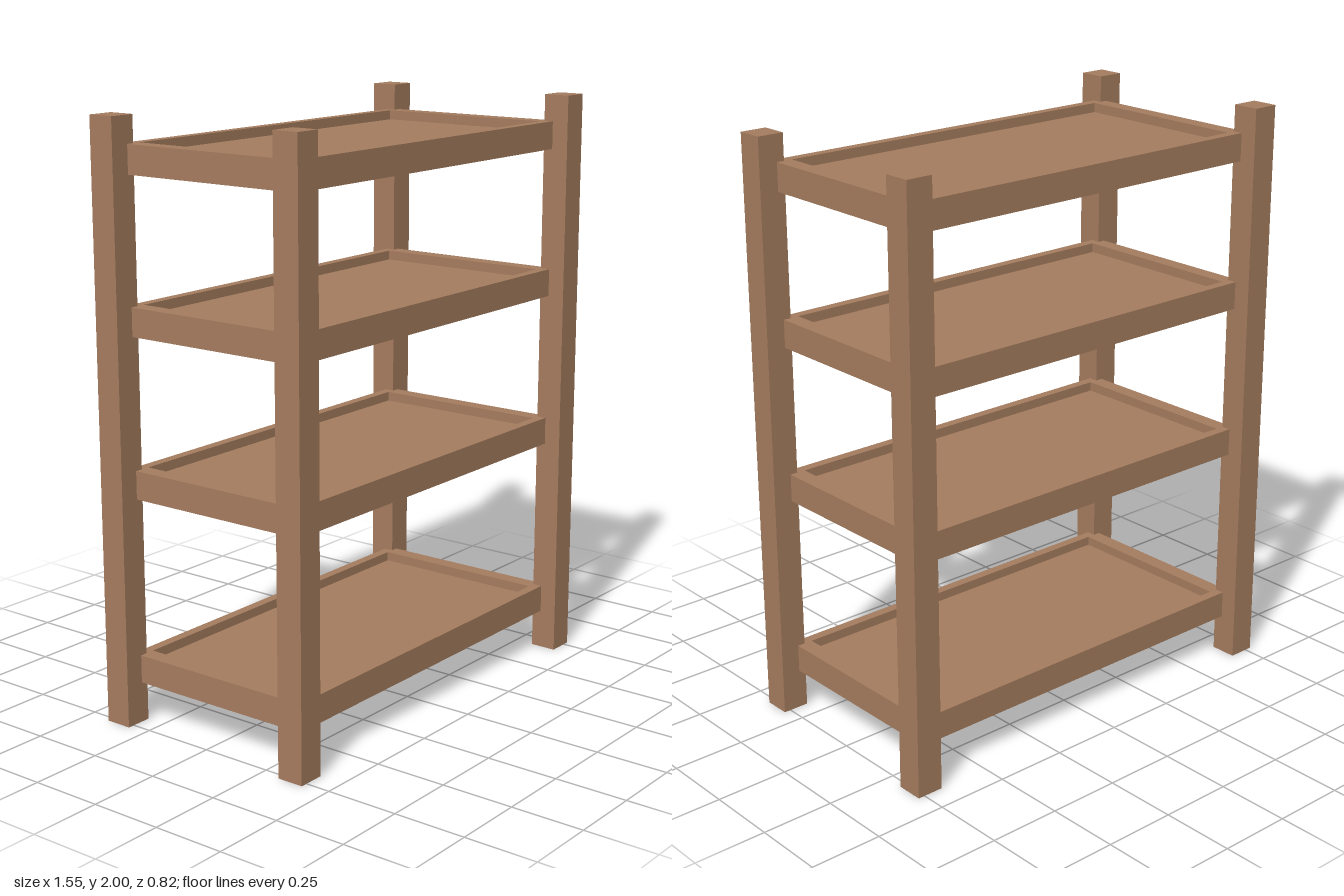
import * as THREE from 'three';

export function createModel() {
  const group = new THREE.Group();
  group.name = 'shelfUnit';
  const wood = new THREE.MeshStandardMaterial({ color: 0xa57c5e, side: THREE.DoubleSide });
  wood.name = 'brownWood';

  const add = (geometry, name, x, y, z) => {
    const mesh = new THREE.Mesh(geometry, wood);
    mesh.name = name;
    mesh.position.set(x, y, z);
    group.add(mesh);
  };

  // Corner posts, hollow and open underneath
  const postGeometry = new THREE.BoxGeometry(0.093, 2, 0.093);
  const faces = Array.from(postGeometry.index.array);
  faces.splice(18, 6); // bottom face
  postGeometry.setIndex(faces);
  postGeometry.clearGroups();
  for (const [sideX, left] of [[1, 'left'], [-1, 'right']]) {
    for (const [sideZ, end] of [[1, 'Front'], [-1, 'Back']]) {
      add(postGeometry, `${left}${end}Post`, sideX * 0.727, 1, sideZ * 0.366);
    }
  }

  // Rectangular shelf rim with an opening for the panel
  const rectangle = (path, w, d) => {
    path.moveTo(-w, -d);
    path.lineTo(w, -d);
    path.lineTo(w, d);
    path.lineTo(-w, d);
    path.closePath();
    return path;
  };
  const rimShape = rectangle(new THREE.Shape(), 0.707, 0.353);
  rimShape.holes.push(rectangle(new THREE.Path(), 0.651, 0.319));
  const rimGeometry = new THREE.ExtrudeGeometry(rimShape, { depth: 0.095, bevelEnabled: false });
  rimGeometry.rotateX(-Math.PI / 2);

  // Four shelves, each a rim with a panel recessed from above and below
  const panelGeometry = new THREE.BoxGeometry(1.302, 0.03, 0.638);
  [0.137, 0.767, 1.302, 1.815].forEach((y, i) => {
    add(rimGeometry, `shelfRim${i + 1}`, 0, y, 0);
    add(panelGeometry, `shelfPanel${i + 1}`, 0, y + 0.0475, 0);
  });

  return group;
}
